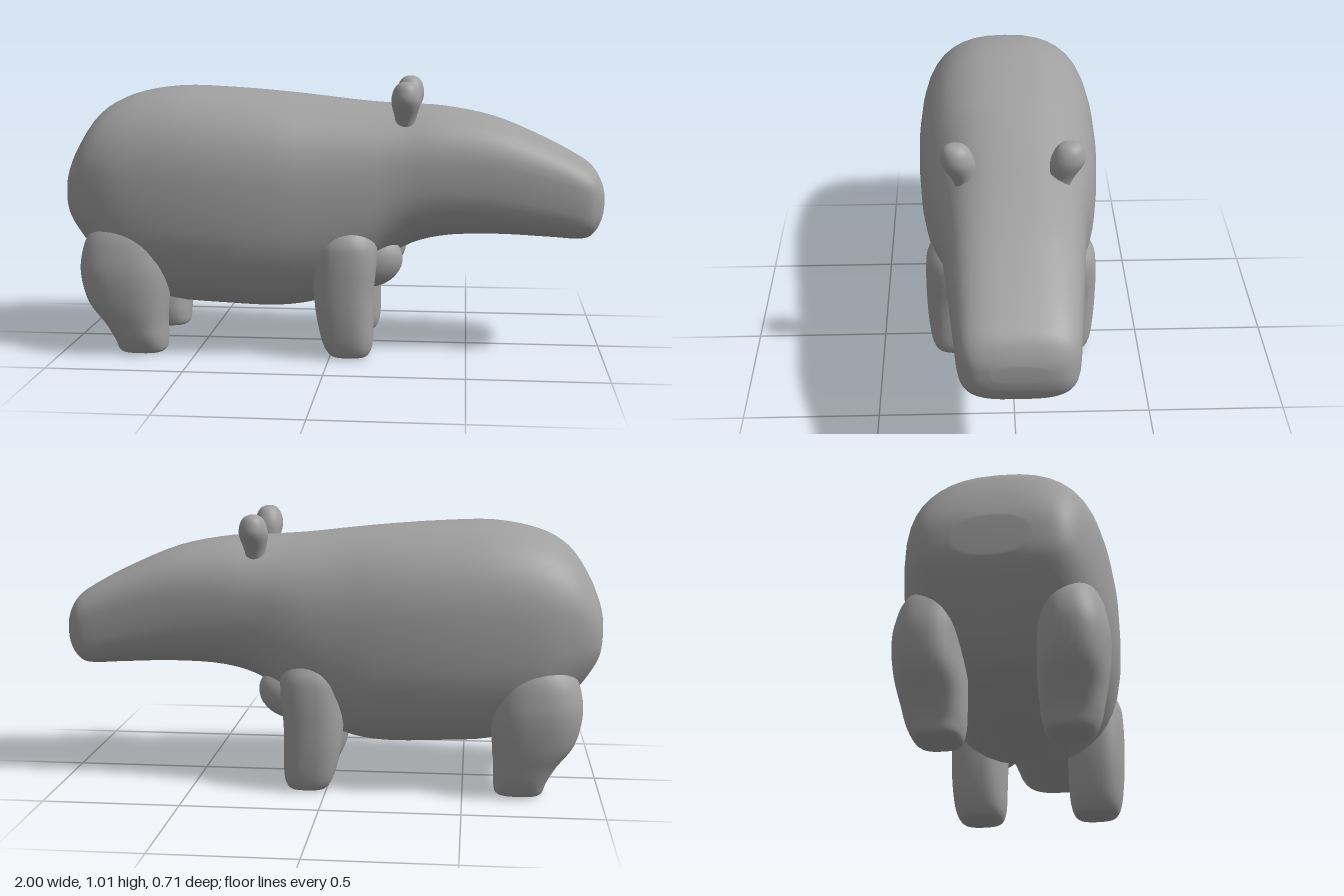
import * as THREE from 'three';

const SEG = 40;

// Skins superellipse rings. Each section: [along, centreU, centreV, radiusU, radiusV, exponent].
// place(along, u, v) puts a point in space; u, v, along form a right-handed set.
function loft(sections, steps, place) {
  // Catmull-Rom smoothing between neighbouring sections
  const rows = [];
  const cr = (a, b, c, d, t) =>
    b + 0.5 * t * (c - a + t * (2 * a - 5 * b + 4 * c - d + t * (3 * (b - c) + d - a)));
  const at = (i) => sections[Math.min(Math.max(i, 0), sections.length - 1)];
  for (let i = 0; i < sections.length - 1; i++) {
    for (let s = 0; s < steps; s++) {
      rows.push(at(i).map((_, k) => cr(at(i - 1)[k], at(i)[k], at(i + 1)[k], at(i + 2)[k], s / steps)));
    }
  }
  rows.push(at(sections.length - 1));

  const pos = [], idx = [];
  const power = (c, n) => Math.sign(c) * Math.pow(Math.abs(c), 2 / n);
  for (const [a, cu, cv, ru, rv, n] of rows) {
    for (let j = 0; j < SEG; j++) {
      const t = (j / SEG) * Math.PI * 2;
      pos.push(...place(a, cu + ru * power(Math.cos(t), n), cv + rv * power(Math.sin(t), n)));
    }
  }
  for (let i = 0; i < rows.length - 1; i++) {
    for (let j = 0; j < SEG; j++) {
      const k = (j + 1) % SEG;
      const a = i * SEG + j, b = i * SEG + k;
      idx.push(a, b, b + SEG, a, b + SEG, a + SEG);
    }
  }
  // end caps
  const last = (rows.length - 1) * SEG;
  const end = rows[rows.length - 1];
  pos.push(...place(rows[0][0], rows[0][1], rows[0][2]), ...place(end[0], end[1], end[2]));
  const c0 = rows.length * SEG;
  for (let j = 0; j < SEG; j++) {
    const k = (j + 1) % SEG;
    idx.push(c0, k, j, c0 + 1, last + j, last + k);
  }
  const geo = new THREE.BufferGeometry();
  geo.setAttribute('position', new THREE.Float32BufferAttribute(pos, 3));
  geo.setIndex(idx);
  geo.computeVertexNormals();
  return geo;
}

export function createModel() {
  const group = new THREE.Group();
  const grey = new THREE.MeshStandardMaterial({ color: 0xa0a0a0 });
  grey.name = 'grey hide';
  const add = (name, geo) => {
    const mesh = new THREE.Mesh(geo, grey);
    mesh.name = name;
    group.add(mesh);
    return mesh;
  };

  // Body and head in one skin: x, top, bottom, half width, squareness
  const profile = [
    [-1.0, 0.66, 0.52, 0.12, 2.4],
    [-0.985, 0.71, 0.48, 0.21, 2.5],
    [-0.95, 0.79, 0.42, 0.26, 2.5],
    [-0.88, 0.89, 0.33, 0.3, 2.5],
    [-0.77, 0.953, 0.23, 0.333, 2.5],
    [-0.6, 0.985, 0.175, 0.35, 2.5],
    [-0.4, 0.98, 0.16, 0.354, 2.5],
    [-0.2, 0.965, 0.155, 0.343, 2.5],
    [-0.05, 0.95, 0.18, 0.325, 2.4],
    [0.1, 0.933, 0.26, 0.302, 2.4],
    [0.25, 0.922, 0.38, 0.272, 2.4],
    [0.4, 0.915, 0.43, 0.255, 2.5],
    [0.6, 0.875, 0.442, 0.235, 2.7],
    [0.8, 0.79, 0.436, 0.215, 3],
    [0.92, 0.725, 0.432, 0.201, 3.2],
    [0.965, 0.69, 0.457, 0.18, 3.2],
    [0.99, 0.645, 0.505, 0.145, 3],
    [1.0, 0.61, 0.55, 0.09, 2.8],
  ];
  add('body', loft(
    profile.map(([x, top, bottom, w, n]) => [x, (top + bottom) / 2, 0, (top - bottom) / 2, w, n]),
    4, (a, u, v) => [a, u, v]));

  // Legs: y, centre z, centre x, half depth z, half length x, squareness
  const frontLeg = [
    [0.005, 0.215, 0.07, 0.05, 0.05, 2.6],
    [0.015, 0.215, 0.07, 0.078, 0.074, 2.8],
    [0.06, 0.217, 0.065, 0.094, 0.093, 2.8],
    [0.15, 0.22, 0.055, 0.102, 0.104, 2.6],
    [0.25, 0.22, 0.05, 0.106, 0.11, 2.5],
    [0.37, 0.215, 0.055, 0.11, 0.117, 2.4],
    [0.45, 0.2, 0.055, 0.11, 0.11, 2.2],
    [0.54, 0.18, 0.05, 0.06, 0.05, 2],
  ];
  const hindLeg = [
    [0.005, 0.215, -0.705, 0.05, 0.06, 2.6],
    [0.015, 0.215, -0.705, 0.077, 0.086, 2.8],
    [0.06, 0.22, -0.71, 0.095, 0.097, 2.8],
    [0.12, 0.225, -0.727, 0.105, 0.115, 2.6],
    [0.2, 0.232, -0.753, 0.115, 0.148, 2.5],
    [0.3, 0.237, -0.763, 0.119, 0.164, 2.4],
    [0.38, 0.23, -0.762, 0.118, 0.162, 2.3],
    [0.46, 0.215, -0.755, 0.11, 0.14, 2.2],
    [0.56, 0.19, -0.74, 0.07, 0.07, 2],
  ];
  // Ears: slim root swelling to a rounded tip, leaning outward
  const ear = [
    [0.83, 0.16, 0.27, 0.035, 0.035, 2],
    [0.88, 0.172, 0.27, 0.042, 0.038, 2],
    [0.94, 0.19, 0.272, 0.06, 0.053, 2],
    [0.98, 0.196, 0.273, 0.053, 0.048, 2],
    [1.005, 0.199, 0.273, 0.038, 0.033, 2],
    [1.015, 0.2, 0.273, 0.016, 0.014, 2],
  ];

  for (const side of [1, -1]) {
    const word = side > 0 ? 'Left' : 'Right';
    const upright = (sections) => loft(
      sections.map(([y, z, ...rest]) => [y, z * side, ...rest]), 4, (a, u, v) => [v, a, u]);
    add('front' + word + 'Leg', upright(frontLeg));
    add('hind' + word + 'Leg', upright(hindLeg));
    add('ear' + word, upright(ear));

    // Chest bulge ahead of each front leg
    const bulge = add('chestBulge' + word, new THREE.SphereGeometry(1, 24, 16));
    bulge.scale.set(0.115, 0.095, 0.075);
    bulge.position.set(0.15, 0.35, 0.155 * side);
    bulge.rotation.z = 0.35;
  }
  return group;
}
